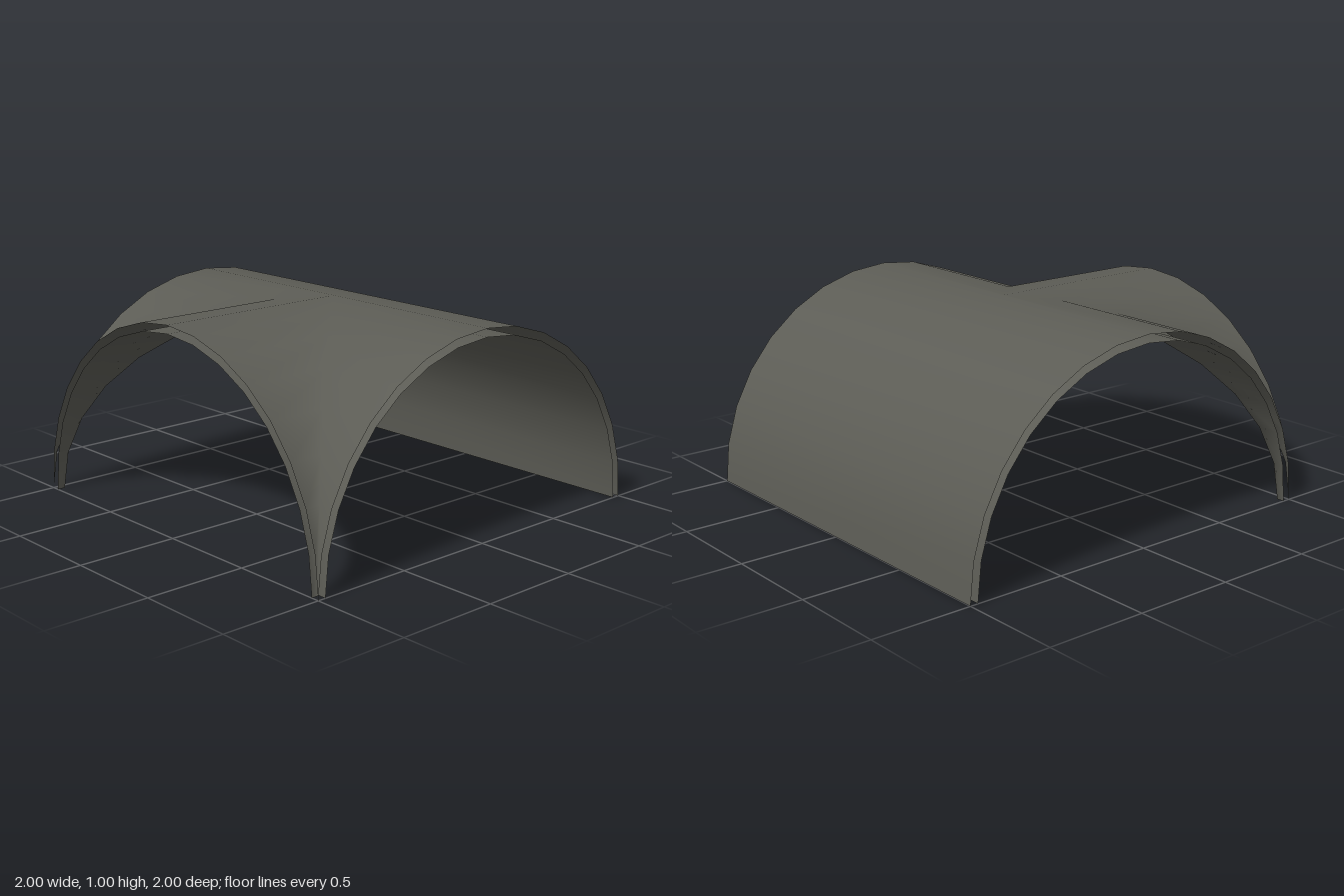
import * as THREE from 'three';
import { mergeVertices } from 'three/addons/utils/BufferGeometryUtils.js';

const SEGMENTS = 8; // per quarter arch

// One open shell: a barrel along z, crossed on the -x side by a barrel along x
function vaultShell(r) {
  const positions = [];
  const quad = (a, b, c, d) => positions.push(...a, ...b, ...c, ...a, ...c, ...d);
  const mirrored = (a, b, c, d) => {
    quad(a, b, c, d);
    const [ma, mb, mc, md] = [a, b, c, d].map(([x, y, z]) => [x, y, -z]);
    quad(ma, md, mc, mb);
  };
  const arc = (i) => {
    const t = (i / SEGMENTS) * Math.PI / 2;
    return [i === SEGMENTS ? 0 : r * Math.cos(t), r * Math.sin(t)];
  };

  for (let i = 0; i < SEGMENTS; i++) {
    const [c0, s0] = arc(i);
    const [c1, s1] = arc(i + 1);
    const groin0 = [-c0, s0, c0];
    const groin1 = [-c1, s1, c1];
    // Full-length side of the main barrel
    quad([c0, s0, 1], [c0, s0, -1], [c1, s1, -1], [c1, s1, 1]);
    // Main barrel webs, from the end arches to the groins
    mirrored([-c0, s0, 1], [-c1, s1, 1], groin1, groin0);
    // Cross barrel webs, from the side arch to the groins
    mirrored([-1, s0, c0], groin0, groin1, [-1, s1, c1]);
  }

  const geometry = new THREE.BufferGeometry();
  geometry.setAttribute('position', new THREE.Float32BufferAttribute(positions, 3));
  const welded = mergeVertices(geometry, 1e-4);
  welded.computeVertexNormals();
  return welded;
}

export function createModel() {
  const stone = new THREE.MeshStandardMaterial({ color: 0x5c5c55, side: THREE.DoubleSide });
  stone.name = 'dark stone';

  const group = new THREE.Group();
  group.name = 'vaultJunction';
  for (const [name, radius] of [['outerVault', 1], ['innerVault', 0.96]]) {
    const mesh = new THREE.Mesh(vaultShell(radius), stone);
    mesh.name = name;
    group.add(mesh);
  }
  return group;
}
